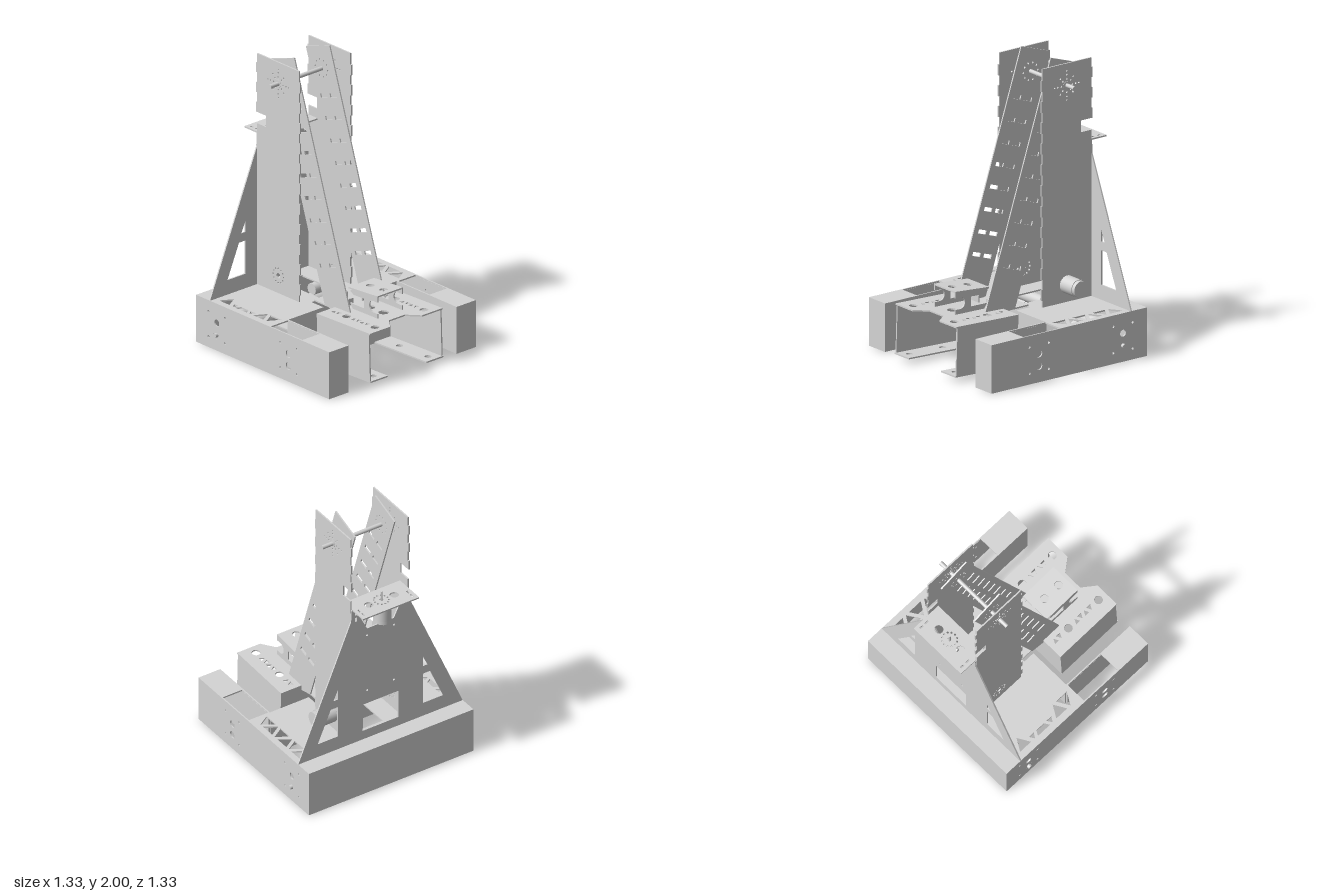
import * as THREE from 'three';

const steel = new THREE.MeshStandardMaterial({ color: 0xd4d4d4, side: THREE.DoubleSide });
steel.name = 'plain grey metal';
const T = 0.01; // sheet thickness

// Hole outlines
const circle = (x, y, r, n = 16) =>
  Array.from({ length: n }, (_, i) => [x + r * Math.cos(i * 2 * Math.PI / n), y + r * Math.sin(i * 2 * Math.PI / n)]);
const rect = (x0, y0, x1, y1) => [[x0, y0], [x1, y0], [x1, y1], [x0, y1]];
const tri = (x, y, w, h, s) => [[x - w / 2, y - s * h / 2], [x + w / 2, y - s * h / 2], [x, y + s * h / 2]];
const ring = (x, y, R, r, n) =>
  circle(x, y, R, n).map(([a, b]) => circle(a, b, r, 8));
const flip = pts => pts.map(([a, b]) => [a, -b]);
const flipX = pts => pts.map(([a, b]) => [-a, b]);

// Sheet parts: xy plates grow to +z, xz plates hang below y, zy plates grow to -x
function plate(parent, name, plane, at, outline, holes = [], t = T) {
  const shape = new THREE.Shape(outline.map(p => new THREE.Vector2(...p)));
  for (const h of holes) shape.holes.push(new THREE.Path(h.map(p => new THREE.Vector2(...p))));
  const g = new THREE.ExtrudeGeometry(shape, { depth: t, bevelEnabled: false });
  if (plane === 'xy') g.translate(0, 0, at);
  if (plane === 'xz') g.rotateX(Math.PI / 2).translate(0, at, 0);
  if (plane === 'zy') g.rotateY(-Math.PI / 2).translate(at, 0, 0);
  const m = new THREE.Mesh(g, steel);
  m.name = name;
  parent.add(m);
  return m;
}

function rod(parent, name, r, len, x, y, z, axis = 'z', r2 = r) {
  const g = new THREE.CylinderGeometry(r, r2, len, 24);
  if (axis === 'z') g.rotateX(Math.PI / 2);
  const m = new THREE.Mesh(g, steel);
  m.position.set(x, y, z);
  m.name = name;
  parent.add(m);
}

function addBase(root) {
  const base = new THREE.Group();
  base.name = 'base';
  root.add(base);
  // Top sheet with truss cutouts and open arm bays
  const half = [[-0.67, 0.645], [0.62, 0.645], [0.62, 0.475], [0.04, 0.475], [0.04, 0.17], [-0.075, 0.17]];
  const holes = [rect(-0.445, -0.085, -0.085, 0.085)];
  for (const s of [-1, 1]) {
    const z0 = s * 0.484, z1 = s * 0.636;
    holes.push(rect(0.045, Math.min(z0, z1), 0.35, Math.max(z0, z1)));
  }
  for (let i = 0; i < 6; i++) holes.push(tri(-0.45 + i * 0.0825, -0.558, 0.108, 0.085, i % 2 ? -1 : 1));
  holes.push(tri(-0.45, 0.555, 0.1, 0.085, -1), tri(-0.365, 0.582, 0.045, 0.035, 1), tri(-0.205, 0.582, 0.045, 0.035, 1),
    [[-0.34, 0.6], [-0.23, 0.6], [-0.25, 0.565], [-0.32, 0.565]],
    tri(-0.12, 0.555, 0.1, 0.085, -1), tri(-0.04, 0.555, 0.1, 0.085, 1));
  plate(base, 'base top', 'xz', 0.332, [...half, ...flip(half).reverse()], holes);
  // Walls
  const wallHoles = [circle(-0.47, 0.195, 0.024), circle(0.225, 0.195, 0.026), circle(0.225, 0.11, 0.026), circle(-0.47, 0.11, 0.03)];
  for (const cx of [-0.47, 0.225]) for (const dx of [-0.08, 0.08]) for (const y of [0.075, 0.255])
    wallHoles.push(circle(cx + dx, y, 0.009, 8));
  for (const s of [-1, 1]) {
    plate(base, 'base outer wall', 'xy', s * 0.64 - T / 2, rect(-0.67, 0, 0.62, 0.322), wallHoles);
    plate(base, 'arm inner wall', 'xy', s * 0.48 - T / 2, rect(0.04, 0, 0.62, 0.322));
    plate(base, 'recess side wall', 'xy', s * 0.175 - T / 2, rect(-0.075, 0, 0.04, 0.322));
    const band = (a, b) => s > 0 ? rect(a, 0, b, 0.322) : rect(-b, 0, -a, 0.322);
    plate(base, 'arm end wall', 'zy', 0.62, band(0.475, 0.645));
    plate(base, 'base front wall', 'zy', 0.04, band(0.17, 0.475));
    // Drive motors set inboard, with the output shaft passing through the wall
    rod(base, 'drive gearbox', 0.06, 0.14, -0.47, 0.11, s * 0.42);
    rod(base, 'drive motor', 0.055, 0.2, -0.47, 0.11, s * 0.25);
    rod(base, 'upper drive motor', 0.04, 0.3, -0.47, 0.195, s * 0.34);
    rod(base, 'drive shaft', 0.015, 0.2, -0.47, 0.11, s * 0.565);
    rod(base, 'drive bearing', 0.03, 0.012, -0.47, 0.11, s * 0.638);
  }
  plate(base, 'base back wall', 'zy', -0.66, rect(-0.645, 0, 0.645, 0.322));
  plate(base, 'recess back wall', 'zy', -0.075, rect(-0.17, 0, 0.17, 0.322));
  plate(base, 'bottom strip', 'xz', 0.012, rect(-0.66, -0.088, 0.04, 0.088));
}

function addTower(root) {
  const tower = new THREE.Group();
  tower.name = 'tower';
  root.add(tower);
  // Side sheets with finger-jointed edges
  const pts = [[-0.535, 0.33], [-0.13, 0.33]];
  for (let i = 0; i < 11; i++) {
    const y = 0.38 + i * 0.143;
    pts.push([-0.13, y], [-0.12, y], [-0.12, y + 0.075], [-0.13, y + 0.075]);
  }
  pts.push([-0.13, 1.965], [-0.535, 1.965]);
  for (const y of [1.9, 1.76, 1.62])
    pts.push([-0.535, y], [-0.545, y], [-0.545, y - 0.07], [-0.535, y - 0.07]);
  pts.push([-0.535, 1.55], [-0.45, 1.55], [-0.45, 1.47], [-0.535, 1.47]);
  const hub = (x, y) => [circle(x, y, 0.014), ...ring(x, y, 0.045, 0.007, 8), ...ring(x, y, 0.075, 0.007, 8), ...ring(x, y, 0.1, 0.006, 4)];
  const sideHoles = [...hub(-0.33, 1.815), circle(-0.33, 0.455, 0.018), ...ring(-0.33, 0.455, 0.05, 0.007, 12)];
  for (const s of [-1, 1]) plate(tower, 'tower side', 'xy', s * 0.225 - 0.005, pts, sideHoles);

  // Sloping rear sheet
  const half = [[0.645, 0.33], [0.23, 1.31], [0.225, 1.4], [0.155, 1.4], [0.15, 1.3], [0.105, 1.21]];
  const holes = [rect(-0.14, 0.4, 0.14, 0.61)];
  for (const f of [p => p, flipX])
    holes.push(...[[[0.492, 0.434], [0.333, 0.434], [0.333, 0.67], [0.39, 0.67]], [[0.333, 0.81], [0.333, 0.73], [0.37, 0.73]],
      rect(0.185, 1.35, 0.2, 1.38), rect(0.185, 1.3, 0.2, 1.33), circle(0.105, 1.155, 0.008, 8), circle(0.105, 0.715, 0.008, 8)].map(f));
  plate(tower, 'rear sheet', 'zy', -0.535, [...half, ...flipX(half).reverse()], holes);

  // Upper motor shelf
  const shelfHoles = [circle(-0.557, 0, 0.015), ...ring(-0.557, 0, 0.05, 0.008, 12)];
  for (const s of [-1, 1]) {
    shelfHoles.push(circle(-0.557, s * 0.1, 0.03));
    for (const x of [-0.628, -0.58]) shelfHoles.push(rect(x - 0.014, s * 0.19 - 0.006, x + 0.014, s * 0.19 + 0.006));
  }
  plate(tower, 'motor shelf', 'xz', 1.405, rect(-0.67, -0.22, -0.445, 0.22), shelfHoles);
  rod(tower, 'lift motor', 0.058, 0.12, -0.575, 1.335, 0, 'y', 0.055);
  rod(tower, 'lift motor cap', 0.055, 0.025, -0.575, 1.263, 0, 'y');
  rod(tower, 'lift motor shaft', 0.008, 0.08, -0.557, 1.435, 0, 'y');

  // Top axle, collars and side motor
  rod(tower, 'top axle', 0.014, 0.62, -0.33, 1.815, -0.005);
  for (const s of [-1, 1]) rod(tower, 'axle collar', 0.028, 0.016, -0.33, 1.815, s * 0.225);
  rod(tower, 'pivot motor', 0.06, 0.12, -0.33, 0.455, -0.295);
  rod(tower, 'pivot motor cap', 0.056, 0.03, -0.33, 0.455, -0.367);
  rod(tower, 'pivot motor shaft', 0.012, 0.09, -0.33, 0.455, -0.2);
}

function addArms(root) {
  // Tilted arm sheets drawn along their own length u and width v from the top corner
  const u = [0.315, -0.949], v = [-0.949, -0.315], o = [-0.255, 2.0];
  const at = (a, b) => [o[0] + a * u[0] + b * v[0], o[1] + a * u[1] + b * v[1]];
  const slot = (a, b) => [at(a - 0.014, b - 0.033), at(a + 0.014, b - 0.033), at(a + 0.014, b + 0.033), at(a - 0.014, b + 0.033)];
  const holes = [circle(-0.33, 1.815, 0.014), ...ring(-0.33, 1.815, 0.06, 0.007, 10)];
  for (let i = 0; i < 8; i++) for (const b of [0.072, 0.168]) holes.push(slot(0.335 + i * 0.152, b));
  for (const s of [-1, 1])
    plate(root, 'swing arm', 'xy', s * 0.155 - 0.005, [at(0, 0), at(0, 0.24), at(1.66, 0.24), at(1.715, 0.15), at(1.728, 0)], holes);
}

function addGripper(root) {
  const grip = new THREE.Group();
  grip.name = 'gripper';
  root.add(grip);
  // Wrist plate with its motor
  plate(grip, 'wrist plate', 'xz', 0.345, rect(-0.075, -0.15, 0.16, 0.15),
    [circle(0.08, 0, 0.012), ...ring(0.08, 0, 0.035, 0.006, 10), circle(-0.055, -0.03, 0.007, 8), circle(0.0, 0.03, 0.007, 8)]);
  rod(grip, 'wrist motor', 0.05, 0.13, 0.08, 0.27, 0, 'y');
  rod(grip, 'wrist motor shaft', 0.008, 0.08, 0.08, 0.37, 0, 'y');

  // Lower box: built level, then tilted slightly
  const box = new THREE.Group();
  box.name = 'lower gripper box';
  box.position.set(0.14, 0.362, 0);
  box.rotation.z = 0.035;
  grip.add(box);
  const half = [[0, 0.32], [0.515, 0.32], [0.515, 0.14], [0.425, 0.07]];
  const holes = [circle(0.167, 0, 0.035), circle(0.297, 0, 0.035)], flangeHoles = { '-1': [], '1': [] };
  for (const s of [-1, 1]) {
    for (const x of [0.175, 0.45]) {
      holes.push(circle(x, s * 0.215, 0.029));
      flangeHoles[s].push(circle(x, s * 0.24, 0.024));
    }
    [0.055, 0.097, 0.247, 0.289, 0.331, 0.373].forEach((x, i) => holes.push(tri(x, s * 0.215, 0.036, 0.034, i % 2 ? 1 : -1)));
  }
  plate(box, 'gripper top', 'xz', 0, [...half, ...flip(half).reverse()], holes);
  plate(box, 'gripper back', 'zy', T, rect(-0.31, -0.345, 0.31, -T));
  for (const s of [-1, 1]) {
    plate(box, 'gripper side', 'xy', s * 0.315 - T / 2, rect(0, -0.335, 0.505, -T));
    plate(box, 'gripper lower flange', 'xz', -0.335, rect(0, s > 0 ? 0.17 : -0.32, 0.512, s > 0 ? 0.32 : -0.17), flangeHoles[s]);
  }

  // Upper claw: notched cheeks under a drilled cover
  const notch = Array.from({ length: 9 }, (_, i) => {
    const a = Math.PI * (0.5 + i / 8);
    return [0.455 + 0.035 * Math.cos(a), 0.452 + 0.04 * Math.sin(a)];
  });
  const cheek = [[0.235, 0.495], [0.26, 0.515], [0.5, 0.535], [0.5, 0.492], ...notch, [0.5, 0.412], [0.5, 0.38], [0.26, 0.375], [0.235, 0.41],
    [0.27, 0.41], [0.37, 0.412], [0.37, 0.48], [0.27, 0.475]];
  for (const s of [-1, 1]) {
    plate(grip, 'claw cheek', 'xy', s * 0.107 - T / 2, cheek);
    plate(grip, 'claw link', 'zy', 0.19, s > 0 ? rect(0.04, 0.35, 0.15, 0.41) : rect(-0.15, 0.35, -0.04, 0.41));
  }
  const cover = plate(grip, 'claw cover', 'xz', 0, rect(0, -0.112, 0.28, 0.112), [circle(0.087, 0, 0.029), circle(0.217, 0, 0.029)]);
  cover.position.set(0.22, 0.516, 0);
  cover.rotation.z = 0.075;
}

export function createModel() {
  const root = new THREE.Group();
  root.name = 'lifting robot frame';
  addBase(root);
  addTower(root);
  addArms(root);
  addGripper(root);
  return root;
}
